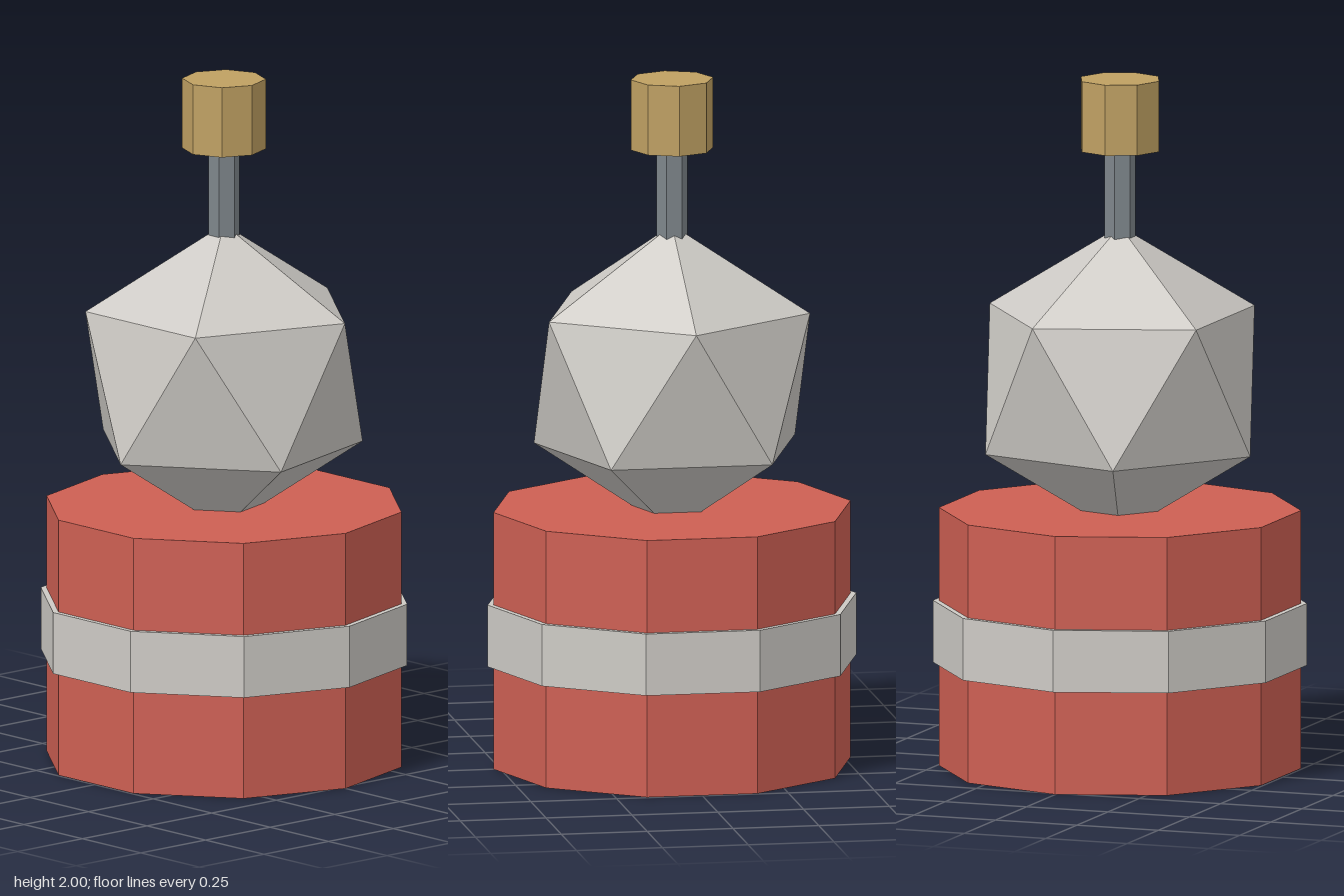
import * as THREE from 'three';

const flat = (name, color) => {
  const m = new THREE.MeshStandardMaterial({ color, flatShading: true });
  m.name = name;
  return m;
};

export function createModel() {
  const red = flat('red', 0xcd5f53);
  const paleGrey = flat('pale grey', 0xcdcac5);
  const steel = flat('steel grey', 0x7e868b);
  const brass = flat('brass', 0xbfa062);

  const model = new THREE.Group();
  model.name = 'model';

  const add = (name, geometry, material) => {
    const mesh = new THREE.Mesh(geometry, material);
    mesh.name = name;
    model.add(mesh);
  };

  // Upright prism between two heights
  const prism = (name, radius, sides, y0, y1, material) =>
    add(name, new THREE.CylinderGeometry(radius, radius, y1 - y0, sides).translate(0, (y0 + y1) / 2, 0), material);

  // Ten-sided drum with a raised band
  prism('base', 0.52, 10, 0, 0.75, red);
  prism('band', 0.537, 10, 0.3, 0.48, paleGrey);

  // Icosahedron standing on one corner, sunk slightly into the drum
  const phi = (1 + Math.sqrt(5)) / 2;
  const body = new THREE.IcosahedronGeometry(0.447, 0);
  body.rotateZ(-Math.atan(1 / phi)).translate(0, 1.125, 0);
  add('body', body, paleGrey);

  // Stem and cap
  prism('stem', 0.045, 6, 1.5, 1.82, steel);
  prism('cap', 0.12, 8, 1.795, 2, brass);

  return model;
}
